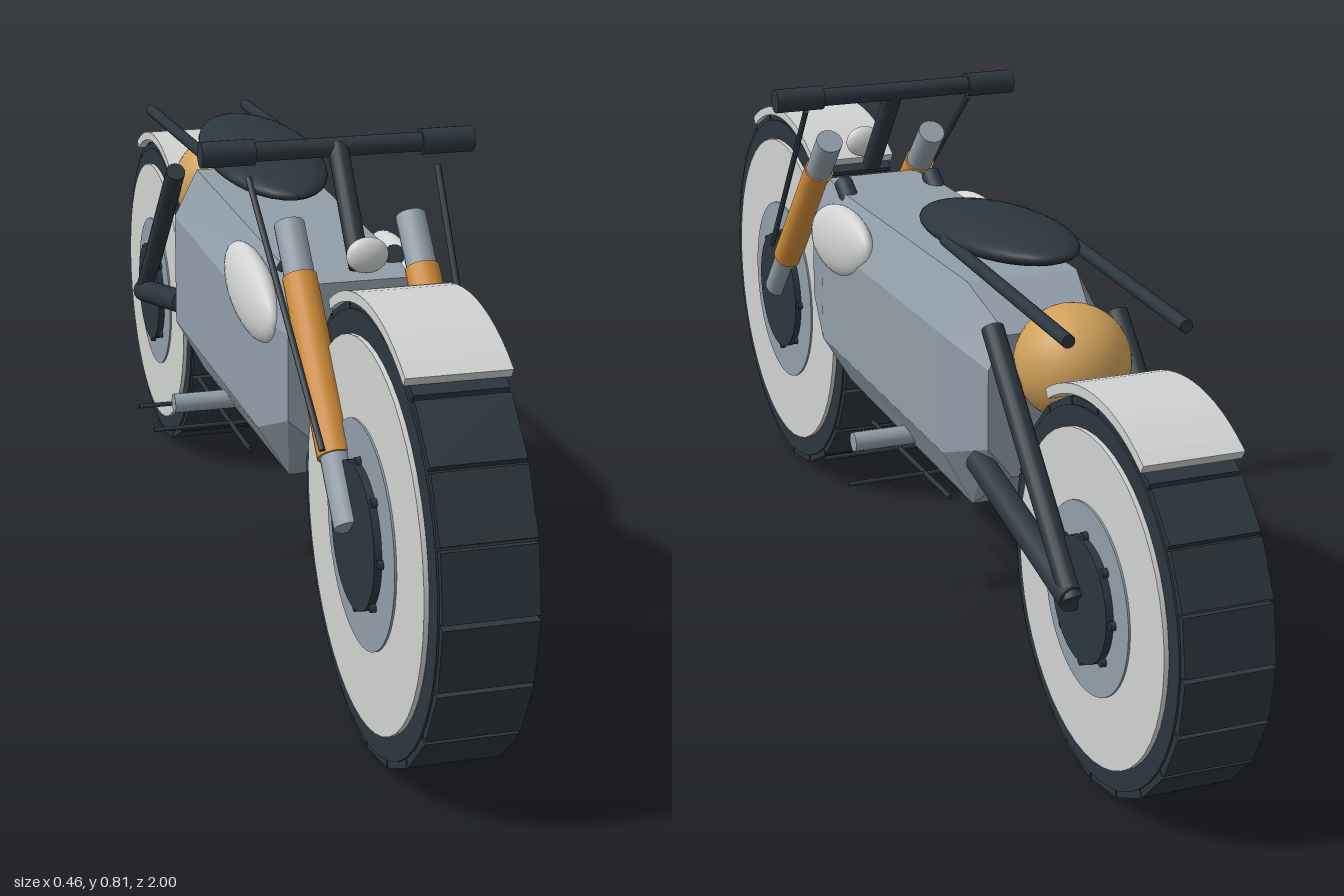
import * as THREE from 'three';

const material = (name, color) => {
  const m = new THREE.MeshStandardMaterial({ color });
  m.name = name;
  return m;
};

export function createModel() {
  const dark = material('charcoal', 0x2c363e);
  const grey = material('steel grey', 0x909da8);
  const light = material('pale silver', 0xd0d3d1);
  const orange = material('orange', 0xd08c3a);
  const gold = material('gold', 0xcfa05a);
  const flatGrey = grey.clone();
  flatGrey.flatShading = true;
  const flatLight = light.clone();
  flatLight.flatShading = true;

  const model = new THREE.Group();
  model.name = 'motorcycle';

  const add = (name, geometry, mat, parent = model) => {
    const mesh = new THREE.Mesh(geometry, mat);
    mesh.name = name;
    parent.add(mesh);
    return mesh;
  };

  // Round bar between two points
  const bar = (name, a, b, r, mat, sides = 16) => {
    const p = new THREE.Vector3(...a), q = new THREE.Vector3(...b);
    const dir = q.clone().sub(p);
    const mesh = add(name, new THREE.CylinderGeometry(r, r, dir.length(), sides), mat);
    mesh.position.copy(p).add(q).multiplyScalar(0.5);
    mesh.quaternion.setFromUnitVectors(new THREE.Vector3(0, 1, 0), dir.normalize());
    return mesh;
  };

  // Stretched sphere
  const ellipsoid = (name, pos, radii, tilt, mat) => {
    const mesh = add(name, new THREE.SphereGeometry(1, 32, 20), mat);
    mesh.position.set(...pos);
    mesh.scale.set(...radii);
    mesh.rotation.x = tilt;
    return mesh;
  };

  // Wheel with tread blocks, layered discs, hub bolts and mudguard
  const wheel = (name, y, z, s) => {
    const g = new THREE.Group();
    g.name = name;
    g.position.set(0, y, z);
    model.add(g);
    const disc = (part, r, halfWidth, mat) =>
      add(part, new THREE.CylinderGeometry(r, r, halfWidth * 2, 48).rotateZ(Math.PI / 2), mat, g);
    disc('tyre', s.tyre - 0.012, 0.07, dark);
    disc('wheelDisc', s.disc, 0.077, light);
    disc('wheelRing', s.ring, 0.08, grey);
    disc('hub', s.hub, 0.091, dark);
    const count = 20, chord = 2 * s.tyre * Math.sin(Math.PI / count);
    for (let i = 0; i < count; i++) {
      const block = new THREE.BoxGeometry(0.134, 0.03, chord * 0.93);
      block.translate(0, s.tyre - 0.018, 0).rotateX(((i + 0.5) / count) * Math.PI * 2);
      add('treadBlock', block, dark, g);
    }
    for (let i = 0; i < 8; i++) {
      const bolt = new THREE.CylinderGeometry(0.007, 0.007, 0.176, 8).rotateZ(Math.PI / 2);
      bolt.translate(0, s.hub + 0.003, 0).rotateX((i / 8) * Math.PI * 2);
      add('hubBolt', bolt, dark, g);
    }
    const arc = new THREE.Shape();
    const a0 = Math.PI / 2 - 0.56, a1 = Math.PI / 2 + 0.56;
    arc.absarc(0, 0, s.guard, a0, a1, false);
    arc.absarc(0, 0, s.guard - 0.015, a1, a0, true);
    const guard = new THREE.ExtrudeGeometry(arc, { depth: 0.15, bevelEnabled: false, curveSegments: 7 });
    add('mudguard', guard.translate(0, 0, -0.075).rotateY(-Math.PI / 2), flatLight, g);
  };
  wheel('frontWheel', 0.335, 0.67, { tyre: 0.33, disc: 0.283, ring: 0.165, hub: 0.107, guard: 0.343 });
  wheel('rearWheel', 0.288, -0.715, { tyre: 0.285, disc: 0.243, ring: 0.14, hub: 0.092, guard: 0.304 });

  // Faceted body lofted through eight-sided sections:
  // z, half width, top half width, bottom half width, bottom, lower side, upper side, top
  const sections = [
    [0.392, 0.11, 0.08, 0.06, 0.365, 0.41, 0.545, 0.62],
    [0.285, 0.13, 0.09, 0.08, 0.282, 0.365, 0.545, 0.622],
    [-0.29, 0.13, 0.09, 0.08, 0.268, 0.36, 0.55, 0.63],
    [-0.4, 0.1, 0.07, 0.06, 0.35, 0.4, 0.525, 0.577],
  ];
  const pos = [], idx = [];
  for (const [z, w, tw, bw, y0, y1, y2, y3] of sections) {
    const half = [[bw, y0], [w, y1], [w, y2], [tw, y3]];
    for (const [x, y] of half) pos.push(x, y, z);
    for (const [x, y] of half.reverse()) pos.push(-x, y, z);
  }
  for (let s = 0; s < 3; s++) {
    for (let i = 0; i < 8; i++) {
      const a = s * 8 + i, b = s * 8 + ((i + 1) % 8);
      idx.push(a, a + 8, b + 8, a, b + 8, b);
    }
  }
  for (let i = 1; i < 7; i++) idx.push(0, i, i + 1, 24, 25 + i, 24 + i);
  const body = new THREE.BufferGeometry();
  body.setAttribute('position', new THREE.Float32BufferAttribute(pos, 3));
  body.setIndex(idx);
  const bodyGeometry = body.toNonIndexed();
  bodyGeometry.computeVertexNormals();
  add('body', bodyGeometry, flatGrey);

  // Seat, rear tank and headlight
  ellipsoid('seat', [0, 0.674, -0.19], [0.096, 0.029, 0.23], 0.07, dark);
  ellipsoid('rearTank', [0, 0.553, -0.48], [0.087, 0.087, 0.087], 0, gold);
  ellipsoid('headlight', [0, 0.67, 0.43], [0.032, 0.027, 0.016], 0, light);

  // Handlebar and stem
  bar('handlebar', [-0.2, 0.795, 0.27], [0.2, 0.795, 0.27], 0.015, dark);
  bar('steeringStem', [0, 0.797, 0.27], [0, 0.64, 0.39], 0.016, dark);

  // Footpeg axle and cross rods under the body
  bar('footpegAxle', [-0.19, 0.297, -0.043], [0.19, 0.297, -0.043], 0.016, grey);
  for (const z of [-0.135, -0.015])
    bar('crossRod', [-0.23, 0.264, z], [0.23, 0.264, z], 0.004, dark, 8);

  // Mirrored parts
  for (const s of [-1, 1]) {
    bar('grip', [s * 0.13, 0.795, 0.27], [s * 0.212, 0.795, 0.27], 0.02, dark);

    // Front fork: point at height y along the raked leg
    const fork = (y) => [s * 0.094, y, 0.66 - (y - 0.35) * 0.915];
    bar('forkLower', fork(0.345), fork(0.45), 0.022, grey);
    bar('forkSleeve', fork(0.425), fork(0.635), 0.026, orange);
    bar('forkUpper', fork(0.62), fork(0.7), 0.023, grey);
    bar('forkRod', [s * 0.147, 0.765, 0.305], [s * 0.118, 0.443, 0.61], 0.005, dark, 8);

    ellipsoid('sidePanel', [s * 0.118, 0.56, 0.21], [0.03, 0.061, 0.14], 0.14, light);
    bar('bodyStub', [s * 0.08, 0.632, 0.31], [s * 0.08, 0.58, 0.225], 0.016, dark);
    bar('lowerRod', [s * 0.1, 0.264, 0.115], [s * 0.1, 0.264, -0.245], 0.004, dark, 8);

    // Rear frame
    bar('tailRail', [s * 0.09, 0.671, -0.2], [s * 0.09, 0.653, -0.665], 0.01, dark);
    bar('rearShock', [s * 0.1, 0.597, -0.415], [s * 0.1, 0.288, -0.715], 0.017, dark);
    bar('swingArm', [s * 0.1, 0.37, -0.365], [s * 0.1, 0.29, -0.715], 0.021, dark);
  }
  return model;
}
